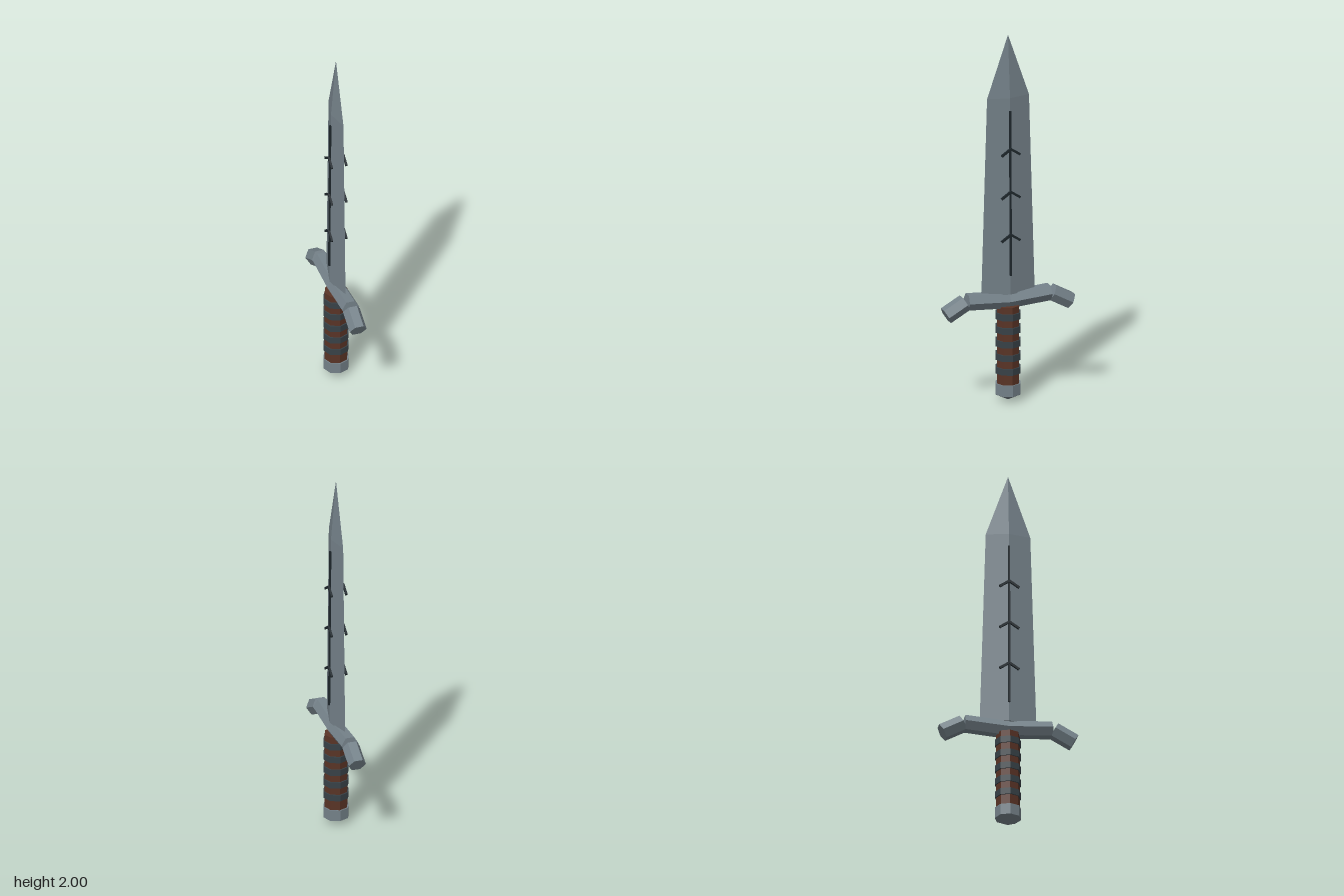
import * as THREE from 'three';

const paint = (color) => new THREE.MeshStandardMaterial({ color, flatShading: true });
const steel = paint(0x75828a), leather = paint(0x5a3426), band = paint(0x384248), inlay = paint(0x1e272c);

export function createModel() {
  const root = new THREE.Group();

  const add = (name, geometry, material) => {
    const mesh = new THREE.Mesh(geometry, material);
    mesh.name = name;
    root.add(mesh);
    return mesh;
  };

  // Faceted solid of revolution from [radius, height] pairs
  const turned = (points, sides) =>
    new THREE.LatheGeometry(points.map(([r, y]) => new THREE.Vector2(r, y)), sides);

  // Lays a part that runs along its own y axis between two points
  const span = (name, a, b, makeGeometry, material) => {
    const from = new THREE.Vector3(...a), to = new THREE.Vector3(...b);
    const dir = to.clone().sub(from);
    const mesh = add(name, makeGeometry(dir.length()), material);
    mesh.position.copy(from).add(to).multiplyScalar(0.5);
    mesh.quaternion.setFromUnitVectors(new THREE.Vector3(0, 1, 0), dir.normalize());
    return mesh;
  };

  // Diamond-section blade
  const blade = turned([[0, 0.585], [0.15, 0.585], [0.118, 1.66], [0, 2]], 4);
  add('blade', blade.scale(0.235, 1, 1), steel);

  // Octagonal grip with raised bands, and pommel
  add('grip', new THREE.CylinderGeometry(0.063, 0.063, 0.44, 8).translate(0, 0.3, 0), leather);
  for (let i = 0; i < 5; i++) {
    add('gripBand', new THREE.CylinderGeometry(0.07, 0.07, 0.035, 8).translate(0, 0.168 + i * 0.0745, 0), band);
  }
  add('pommel', turned([[0, 0], [0.07, 0.035], [0.07, 0.095], [0, 0.095]], 8), steel);

  // Six-sided crossguard: two raised arms with drooping ends
  const hexBar = (length) => new THREE.CylinderGeometry(0.047, 0.047, length, 6).rotateY(Math.PI / 2);
  for (const s of [-1, 1]) {
    span('guardArm', [0, 0.547, -0.003 * s], [0, 0.563, 0.232 * s], hexBar, steel);
    span('guardEnd', [0, 0.56, 0.243 * s], [0, 0.502, 0.349 * s], hexBar, steel);
  }

  // Dark spine line and three chevrons on each flat of the blade
  const strip = (thick, wide) => (length) => new THREE.BoxGeometry(thick, length, wide);
  for (const side of [-1, 1]) {
    span('spineInlay', [0.034 * side, 0.69, 0], [0.028 * side, 1.59, 0], strip(0.016, 0.01), inlay);
    for (const y of [0.92, 1.155, 1.39]) {
      for (const s of [-1, 1]) {
        span('chevronInlay', [0.04 * side, y - 0.004, -0.002 * s], [0.04 * side, y - 0.04, 0.052 * s],
          strip(0.011, 0.012), inlay);
      }
    }
  }
  return root;
}
